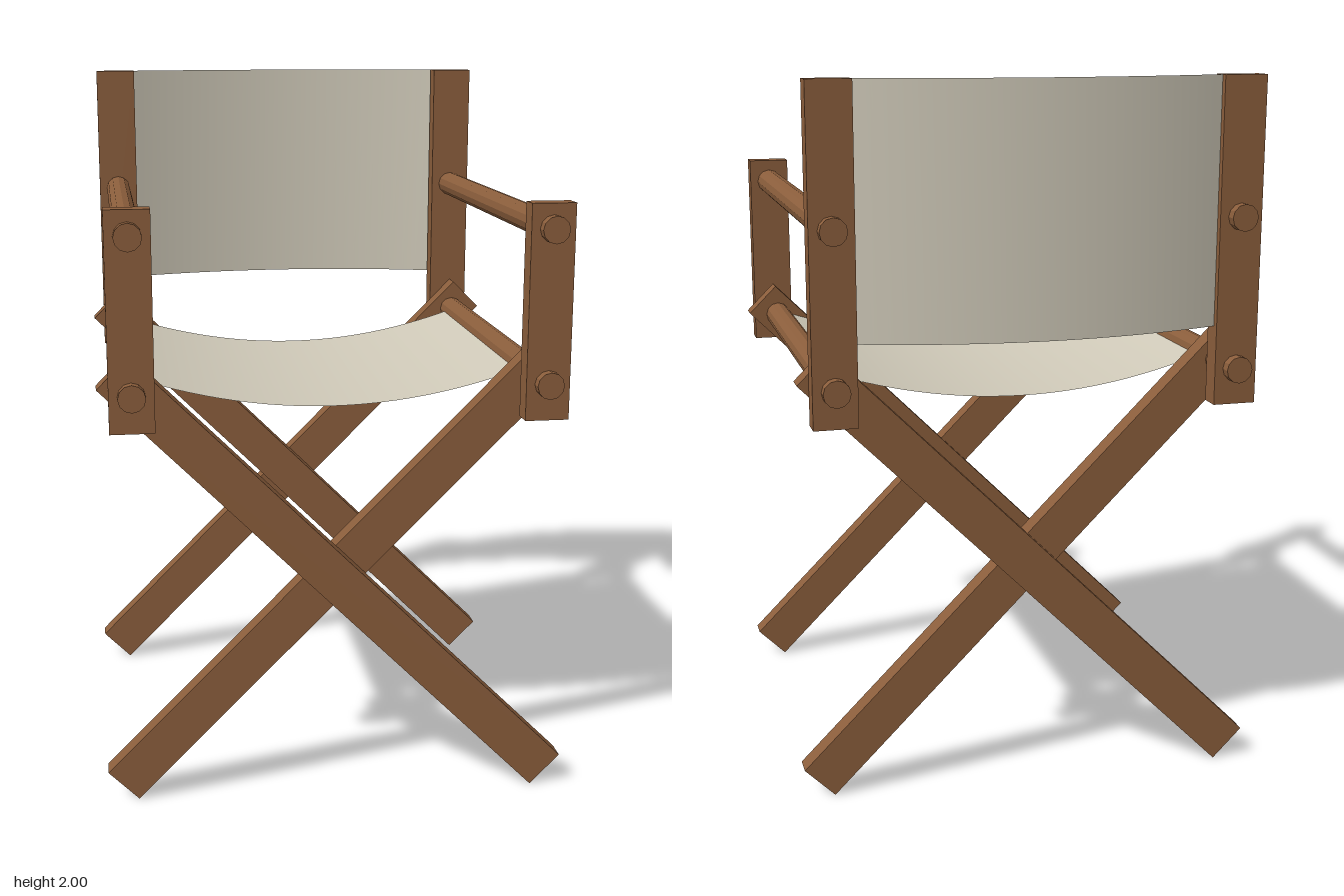
import * as THREE from 'three';

const wood = new THREE.MeshStandardMaterial({ color: 0x8b5e3c, flatShading: true });
const canvas = new THREE.MeshStandardMaterial({ color: 0xd0cab9, side: THREE.DoubleSide });

function add(parent, name, geometry, material, x, y, z) {
  const mesh = new THREE.Mesh(geometry, material);
  mesh.name = name;
  mesh.position.set(x, y, z);
  parent.add(mesh);
  return mesh;
}

// Cloth strip hung between two side edges: lies in the xy plane, sags towards -z
function slingGeometry(width, depth, sag) {
  const geometry = new THREE.PlaneGeometry(width, depth, 24, 1);
  const p = geometry.attributes.position;
  for (let i = 0; i < p.count; i++) {
    const t = p.getX(i) / (width / 2);
    p.setZ(i, -sag * (1 - t * t));
  }
  geometry.computeVertexNormals();
  return geometry;
}

export function createModel() {
  const chair = new THREE.Group();
  chair.name = 'foldingChair';

  // Crossed legs: each pair has two bars side by side in z
  const legGeometry = new THREE.BoxGeometry(1.71, 0.12, 0.06);
  for (const [pair, z] of [['front', 0.543], ['back', -0.507]]) {
    for (const s of [1, -1]) {
      const leg = add(chair, pair + (s > 0 ? 'FallingLeg' : 'RisingLeg'),
        legGeometry, wood, 0, 0.652, z + s * 0.03);
      leg.rotation.z = -s * Math.PI / 4;
    }
  }

  // Posts and round rails, mirrored on both sides
  for (const s of [1, -1]) {
    const side = s > 0 ? 'left' : 'right';
    const x = s * 0.556;
    add(chair, side + 'FrontPost', new THREE.BoxGeometry(0.12, 0.585, 0.06), wood, x, 1.4, 0.634);
    add(chair, side + 'BackPost', new THREE.BoxGeometry(0.12, 0.893, 0.06), wood, x, 1.5535, -0.6);
    for (const [name, y] of [['Armrest', 1.625], ['SeatRail', 1.208]]) {
      const rod = add(chair, side + name, new THREE.CylinderGeometry(0.037, 0.037, 1.355, 12), wood, x, y, 0.017);
      rod.rotation.x = Math.PI / 2;
    }
  }

  // Canvas seat sagging down, canvas back bowing backwards
  const seat = add(chair, 'seat', slingGeometry(1.06, 0.93, 0.09), canvas, 0, 1.212, 0.017);
  seat.rotation.x = -Math.PI / 2;
  add(chair, 'backrest', slingGeometry(1.0, 0.675, 0.085), canvas, -0.008, 1.6625, -0.607);

  return chair;
}
